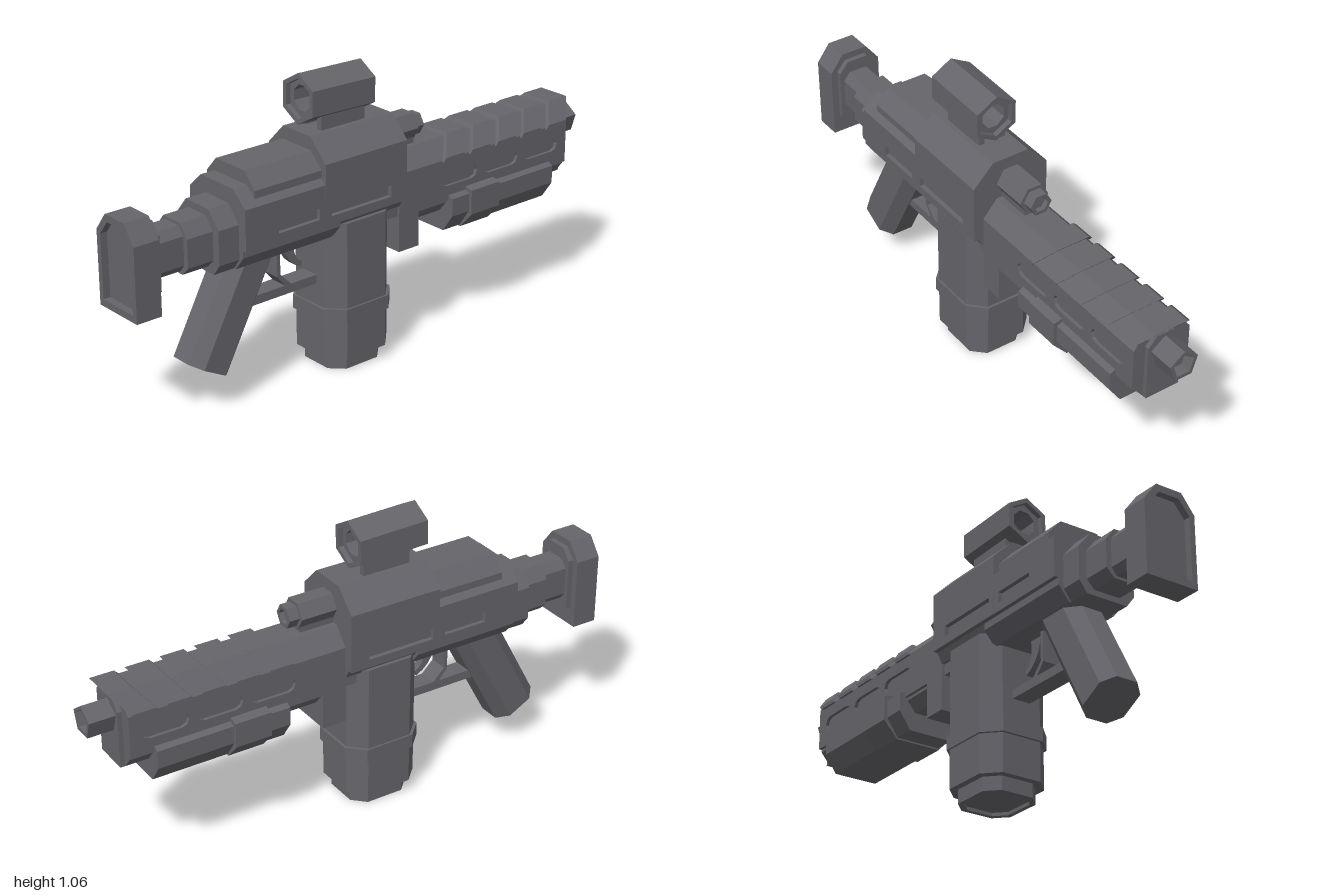
import * as THREE from 'three';

const gunmetal = new THREE.MeshStandardMaterial({ color: 0x65646a });
gunmetal.name = 'gunmetal';

const V = (p) => new THREE.Vector2(p[0], p[1]);

// Polygon with optional holes, as a shape
function poly(points, ...holes) {
  const s = new THREE.Shape(points.map(V));
  holes.forEach((h) => s.holes.push(new THREE.Path(h.map(V))));
  return s;
}
// Mirrors a half outline (bottom to top) into a full one
const mirror = (half) => [...half, ...half.map(([a, b]) => [-a, b]).reverse()];
// Regular polygon with its first corner at the given angle
const ngon = (n, r, cy = 0, start = Math.PI / 2) =>
  Array.from({ length: n }, (_, i) => {
    const t = start + (i / n) * Math.PI * 2;
    return [Math.cos(t) * r, cy + Math.sin(t) * r];
  });
// Rectangle with cut corners
const octagon = (w, d, c) => [[-w + c, -d], [w - c, -d], [w, -d + c], [w, d - c],
  [w - c, d], [-w + c, d], [-w, d - c], [-w, -d + c]];
const rect = (x0, x1, y0, y1) => [[x0, y0], [x1, y0], [x1, y1], [x0, y1]];
// Slot with rounded ends
function slot(x0, x1, y0, y1) {
  const r = (y1 - y0) / 2, cy = (y0 + y1) / 2, pts = [];
  for (let i = 0; i <= 4; i++) pts.push([x1 - r + r * Math.sin(i * Math.PI / 4), cy - r * Math.cos(i * Math.PI / 4)]);
  for (let i = 0; i <= 4; i++) pts.push([x0 + r - r * Math.sin(i * Math.PI / 4), cy + r * Math.cos(i * Math.PI / 4)]);
  return pts;
}

const extrude = (shape, depth) =>
  new THREE.ExtrudeGeometry(shape, { depth, bevelEnabled: false, curveSegments: 5 });
// Extrusions running along each axis
const alongX = (shape, x0, x1) => extrude(shape, x1 - x0).rotateY(Math.PI / 2).translate(x0, 0, 0);
const alongY = (shape, y0, y1) => extrude(shape, y1 - y0).rotateX(-Math.PI / 2).translate(0, y0, 0);
const alongZ = (shape, z0, z1) => extrude(shape, z1 - z0).translate(0, 0, z0);

export function createModel() {
  const model = new THREE.Group();
  model.name = 'blaster';
  const add = (name, geometry, parent = model) => {
    const m = new THREE.Mesh(geometry, gunmetal);
    m.name = name;
    parent.add(m);
    return m;
  };
  const beam = (name, half, x0, x1) => add(name, alongX(poly(mirror(half)), x0, x1));
  // Same plate on both sides
  const sides = (name, shape, z0, z1) => {
    add(name + 'Left', alongZ(shape, z0, z1));
    add(name + 'Right', alongZ(shape, -z1, -z0));
  };

  // Stock: hollow-backed butt plate, flange and stepped neck
  const butt = mirror([[0.1, 0.43], [0.1, 0.69], [0.05, 0.755]]);
  const buttHole = mirror([[0.08, 0.455], [0.08, 0.68], [0.04, 0.73]]);
  add('buttRim', alongX(poly(butt, buttHole), -1, -0.975));
  add('buttPlate', alongX(poly(butt), -0.975, -0.905));
  beam('stockFlange', [[0.075, 0.5], [0.075, 0.69], [0.04, 0.73]], -0.905, -0.885);
  beam('stockTube', [[0.04, 0.53], [0.06, 0.555], [0.06, 0.655], [0.035, 0.685]], -0.885, -0.78);
  beam('stockCollar', [[0.05, 0.52], [0.08, 0.55], [0.08, 0.65], [0.045, 0.695]], -0.785, -0.68);
  beam('stockSocket', [[0.08, 0.5], [0.11, 0.54], [0.11, 0.66], [0.06, 0.72]], -0.685, -0.6);

  // Receiver: rear and front cores with slotted side plates
  beam('receiverBelly', [[0.09, 0.5], [0.13, 0.55], [0.13, 0.58]], -0.605, -0.2);
  beam('receiverRear', [[0.13, 0.575], [0.13, 0.71], [0.146, 0.71], [0.146, 0.72], [0.085, 0.775]], -0.605, -0.27);
  beam('receiverCover', [[0.125, 0.71], [0.125, 0.765], [0.075, 0.82]], -0.55, -0.27);
  beam('receiverFront', [[0.11, 0.54], [0.13, 0.575], [0.13, 0.7], [0.147, 0.7], [0.147, 0.79], [0.07, 0.867]], -0.275, 0.08);
  sides('rearSidePlate', poly(rect(-0.605, -0.275, 0.575, 0.71), rect(-0.47, -0.3, 0.605, 0.645)), 0.13, 0.146);
  sides('frontSidePlate', poly(rect(-0.275, 0.08, 0.575, 0.7), rect(-0.25, 0.01, 0.605, 0.645)), 0.13, 0.147);

  // Sight: hollow hexagonal tube on two rails
  const sight = new THREE.Group();
  sight.name = 'sight';
  sight.position.set(-0.135, 0.972, 0);
  sight.rotation.z = -0.025;
  model.add(sight);
  add('sightShell', alongX(poly(ngon(6, 0.088), ngon(6, 0.07)), -0.134, 0.134), sight);
  add('sightLiner', alongX(poly(ngon(6, 0.073), ngon(8, 0.046, 0, Math.PI / 8)), -0.115, 0.115), sight);
  for (const s of [-1, 1]) {
    add('sightRail', new THREE.BoxGeometry(0.185, 0.07, 0.022).translate(-0.12, 0.885, s * 0.041));
  }

  // Side lamp in front of the receiver
  add('lampBody', alongX(poly(ngon(6, 0.056, 0.775, 0)), 0.07, 0.215));
  add('lampNose', alongX(poly(ngon(6, 0.042, 0.775, 0), ngon(6, 0.028, 0.775, 0)), 0.215, 0.253));
  add('lampLens', alongX(poly(ngon(6, 0.03, 0.775, 0)), 0.215, 0.235));
  add('lampMount', new THREE.BoxGeometry(0.14, 0.05, 0.07).translate(0.14, 0.725, 0));

  // Handguard: core, slotted side plates and swept ridges
  beam('handguard', [[0.065, 0.45], [0.098, 0.49], [0.098, 0.65], [0.11, 0.65], [0.11, 0.655], [0.055, 0.718]], 0.08, 0.89);
  const slots = [0.275, 0.475, 0.675].map((x) => slot(x, x + 0.17, 0.555, 0.608));
  sides('handguardPlate', poly(rect(0.08, 0.89, 0.5, 0.65), ...slots), 0.098, 0.11);
  beam('handguardNose', [[0.065, 0.45], [0.065, 0.655], [0.035, 0.69]], 0.88, 0.906);
  for (let i = 0; i < 5; i++) {
    const x = 0.28 + i * 0.126;
    const g = alongX(poly(mirror([[0.118, 0.65], [0.118, 0.665], [0.062, 0.729]])), x, x + 0.088);
    const p = g.attributes.position;
    for (let k = 0; k < p.count; k++) p.setX(k, p.getX(k) + (p.getY(k) - 0.655) * 0.85);
    g.computeVertexNormals();
    add('handguardRidge', g);
  }

  // Muzzle: five-sided and hollow
  add('muzzle', alongX(poly(ngon(5, 0.057, 0.622), ngon(5, 0.042, 0.622)), 0.9, 1));
  add('muzzleCore', alongX(poly(ngon(5, 0.046, 0.622)), 0.9, 0.96));

  // Underbarrel grip and its band
  beam('underbarrel', [[0.085, 0.38], [0.13, 0.445], [0.13, 0.51], [0.1, 0.525]], 0.31, 0.805);
  beam('underbarrelBand', [[0.088, 0.374], [0.143, 0.435], [0.143, 0.525], [0.1, 0.535]], 0.39, 0.525);

  // Block between magazine and handguard
  add('magazineCatch', new THREE.BoxGeometry(0.09, 0.2, 0.22).translate(0.125, 0.47, 0));
  add('magazineWell', new THREE.BoxGeometry(0.12, 0.12, 0.2).translate(0.04, 0.56, 0));

  // Magazine: octagonal body, band and hollow foot
  const magazine = new THREE.Group();
  magazine.name = 'magazine';
  magazine.position.x = -0.085;
  model.add(magazine);
  add('magazineBody', alongY(poly(octagon(0.14, 0.13, 0.055)), 0.05, 0.55), magazine);
  add('magazineBand', alongY(poly(octagon(0.15, 0.137, 0.057)), 0.19, 0.24), magazine);
  add('magazineFoot', alongY(poly(octagon(0.115, 0.106, 0.045), octagon(0.098, 0.089, 0.038)), 0, 0.05), magazine);
  add('magazineFloor', alongY(poly(octagon(0.1, 0.091, 0.039)), 0.012, 0.05), magazine);

  // Slanted pistol grip
  const grip = add('grip', alongY(poly(octagon(0.088, 0.08, 0.04)), 0, 0.45));
  grip.position.set(-0.692, 0.152, 0);
  grip.rotation.z = -0.49;

  // Trigger and its guard
  const trigger = new THREE.Shape();
  trigger.moveTo(-0.355, 0.51);
  trigger.quadraticCurveTo(-0.35, 0.42, -0.275, 0.387);
  trigger.lineTo(-0.27, 0.405);
  trigger.quadraticCurveTo(-0.32, 0.43, -0.3, 0.51);
  trigger.closePath();
  add('trigger', alongZ(trigger, -0.015, 0.015));
  add('triggerGuard', alongZ(poly([[-0.51, 0.318], [-0.2, 0.318], [-0.2, 0.35], [-0.335, 0.35],
    [-0.38, 0.395], [-0.38, 0.51], [-0.393, 0.51], [-0.393, 0.39], [-0.36, 0.35], [-0.51, 0.35]]), -0.035, 0.035));

  return model;
}
